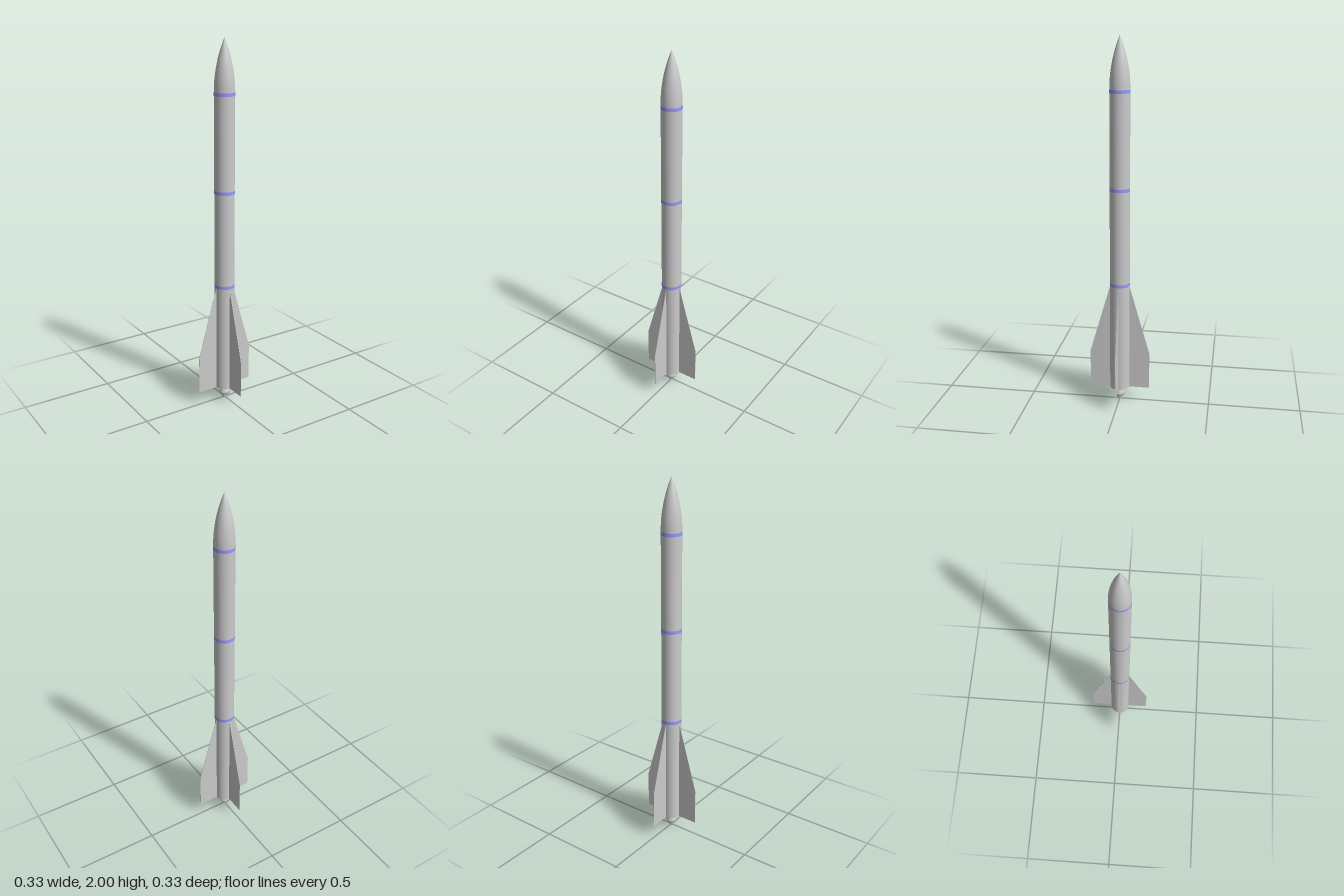
import * as THREE from 'three';

export function createModel() {
  const group = new THREE.Group();
  const grey = new THREE.MeshStandardMaterial({ color: 0xcccccc, side: THREE.DoubleSide });
  const blue = new THREE.MeshStandardMaterial({ color: 0x9999ff });
  const R = 0.054, BASE = 0.075, SHOULDER = 1.73;

  const add = (name, geometry, material = grey) => {
    const mesh = new THREE.Mesh(geometry, material);
    mesh.name = name;
    group.add(mesh);
    return mesh;
  };

  // Straight body tube
  add('bodyTube', new THREE.CylinderGeometry(R, R, SHOULDER - BASE, 48))
    .position.y = (SHOULDER + BASE) / 2;

  // Pointed ogive nose, an arc tangent to the tube
  const noseLength = 2 - SHOULDER;
  const rho = (R * R + noseLength * noseLength) / (2 * R);
  const profile = [];
  for (let i = 0; i <= 20; i++) {
    const t = (i / 20) * noseLength;
    const r = Math.sqrt(rho * rho - t * t) + R - rho;
    profile.push(new THREE.Vector2(Math.max(r, 0), SHOULDER + t));
  }
  add('noseCone', new THREE.LatheGeometry(profile, 48));

  // Coloured bands around the tube
  for (const y of [0.683, 1.208, 1.72]) {
    add('band', new THREE.CylinderGeometry(R + 0.0007, R + 0.0007, 0.018, 48, 1, true), blue)
      .position.y = y;
  }

  // Four thin swept fins
  const outline = new THREE.Shape([
    [0.045, BASE], [0.166, BASE], [0.166, 0.28], [R, 0.668], [0.045, 0.668],
  ].map(([x, y]) => new THREE.Vector2(x, y)));
  const finGeometry = new THREE.ExtrudeGeometry(outline, { depth: 0.002, bevelEnabled: false });
  finGeometry.translate(0, 0, -0.001);
  for (let i = 0; i < 4; i++) add('fin', finGeometry).rotation.y = (i * Math.PI) / 2;

  // Flared motor nozzle with a stepped underside
  const nozzle = [[0, 0.077], [0.014, 0.077], [0.017, 0.066], [0.029, 0.038], [0.028, 0.028], [0.018, 0.026], [0, 0.026]];
  add('nozzle', new THREE.LatheGeometry(nozzle.map(([x, y]) => new THREE.Vector2(x, y)).reverse(), 16));

  // Small plug and tilted igniter under the nozzle
  add('plug', new THREE.CylinderGeometry(0.02, 0.017, 0.016, 12)).position.y = 0.019;
  const igniter = add('igniter', new THREE.CylinderGeometry(0.013, 0.011, 0.013, 10));
  igniter.position.set(-0.003, 0.0085, 0);
  igniter.rotation.z = 0.18;

  return group;
}
